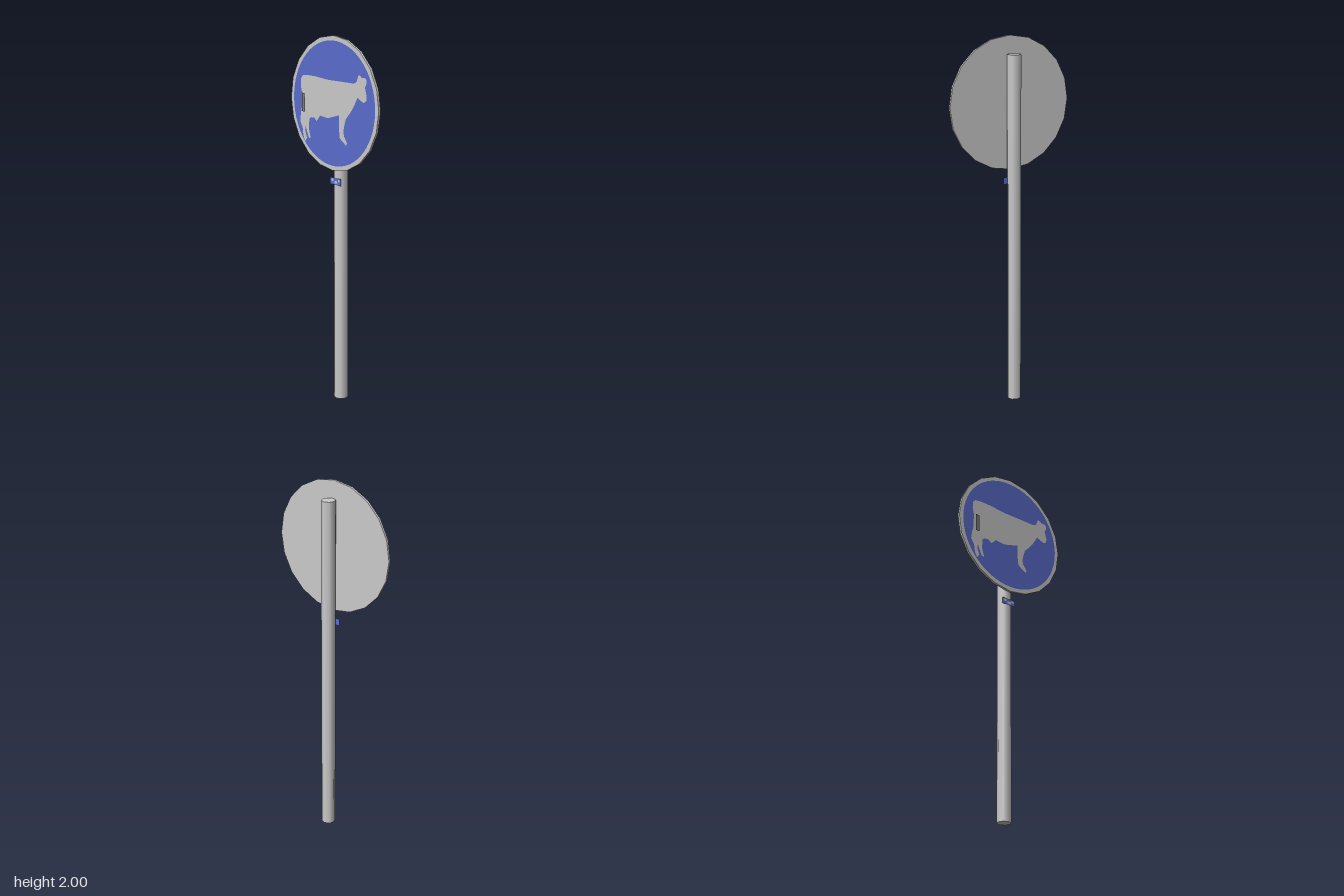
import * as THREE from 'three';

export function createModel() {
  const group = new THREE.Group();
  const mat = (name, color, side = THREE.FrontSide) => {
    const m = new THREE.MeshStandardMaterial({ color, side });
    m.name = name;
    return m;
  };
  const grey = mat('light grey', 0xcacaca);
  const blue = mat('sign blue', 0x5a6ccb, THREE.DoubleSide);
  const dark = mat('dark grey', 0x7c7c7c, THREE.DoubleSide);
  const add = (name, geometry, material, x, y, z) => {
    const mesh = new THREE.Mesh(geometry, material);
    mesh.name = name;
    mesh.position.set(x, y, z);
    group.add(mesh);
    return mesh;
  };

  // Octagonal post
  add('post', new THREE.CylinderGeometry(0.038, 0.038, 1.905, 8), grey, 0, 0.9525, -0.0145);

  // Twenty-sided sign plate with a round blue field
  const centre = 1.645;
  add('signPlate', new THREE.CylinderGeometry(0.355, 0.355, 0.013, 20).rotateX(Math.PI / 2),
    grey, 0, centre, 0.0335);
  add('blueField', new THREE.CircleGeometry(0.329, 60), blue, 0, centre, 0.041);

  // Cow silhouette, clockwise from the rump: back, head, foreleg, belly, hind legs
  const cow = [
    [-0.265, 1.755], [-0.25, 1.772], [-0.222, 1.777], [-0.15, 1.777], [-0.04, 1.768], [0.17, 1.768],
    [0.19, 1.78], [0.2, 1.81], [0.212, 1.815], [0.228, 1.803], [0.255, 1.803], [0.265, 1.793],
    [0.263, 1.775], [0.253, 1.755], [0.265, 1.715], [0.263, 1.688], [0.243, 1.677], [0.217, 1.687],
    [0.196, 1.698], [0.17, 1.655], [0.143, 1.618], [0.106, 1.58], [0.096, 1.555], [0.085, 1.512],
    [0.09, 1.486], [0.114, 1.453], [0.108, 1.439], [0.074, 1.458], [0.056, 1.472], [0.051, 1.512],
    [0.051, 1.592], [0.01, 1.58], [-0.042, 1.566], [-0.106, 1.572], [-0.122, 1.552], [-0.138, 1.54],
    [-0.153, 1.556], [-0.183, 1.554], [-0.196, 1.545], [-0.2, 1.49], [-0.185, 1.44], [-0.2, 1.438],
    [-0.222, 1.485], [-0.228, 1.502], [-0.233, 1.48], [-0.217, 1.438], [-0.233, 1.418],
    [-0.248, 1.448], [-0.254, 1.49], [-0.275, 1.524], [-0.269, 1.565], [-0.26, 1.6],
    [-0.258, 1.68], [-0.267, 1.715],
  ];
  const cowShape = new THREE.Shape(cow.map(([x, y]) => new THREE.Vector2(x, y)));
  add('cow', new THREE.ShapeGeometry(cowShape), grey, 0, 0, 0.0425);

  // Thin raised strip beside the tail
  add('tailStrip', new THREE.PlaneGeometry(0.024, 0.1), dark, -0.237, 1.63, 0.05);

  // Small blue tag below the sign, with pale flecks
  add('tag', new THREE.PlaneGeometry(0.088, 0.038), blue, 0, 1.23, 0.0245);
  for (const [x, y, w] of [[-0.024, 0.006, 0.02], [0.004, -0.004, 0.022], [0.028, 0.005, 0.014]]) {
    add('tagFleck', new THREE.PlaneGeometry(w, 0.013), grey, x, 1.23 + y, 0.0255);
  }
  return group;
}
